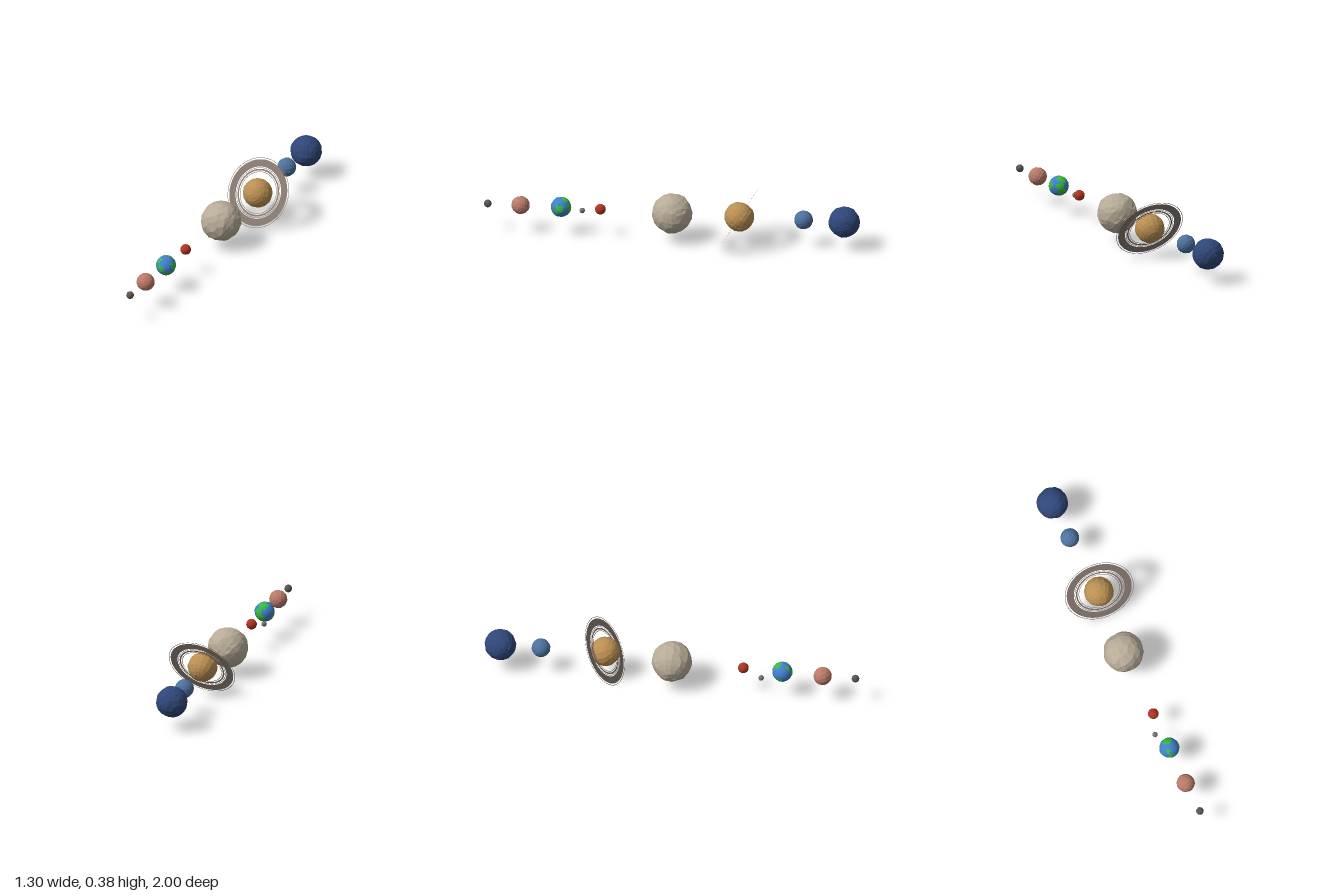
import * as THREE from 'three';

const paint = (color, extra = {}) =>
  new THREE.MeshStandardMaterial({ color, flatShading: true, ...extra });

// Repeatable noise in -1..1 from a position, so shared corners move together
function noise(v, seed) {
  const q = (a) => Math.round(a * 100);
  const s = Math.sin(q(v.x) * 12.99 + q(v.y) * 78.23 + q(v.z) * 37.72 + seed * 4.1) * 437.58;
  return (s - Math.floor(s)) * 2 - 1;
}

// Low-poly globe: a faceted sphere with uneven rows, its pole turned to the given axis
function globe(name, color, r, position, axis, seed, rough = 0.03, seg = 14, rows = 10) {
  const geo = new THREE.SphereGeometry(1, seg, rows);
  const p = geo.attributes.position;
  const v = new THREE.Vector3();
  for (let i = 0; i < p.count; i++) {
    v.fromBufferAttribute(p, i);
    const n = noise(v, seed), m = noise(new THREE.Vector3(v.z, v.x, v.y), seed + 3);
    const atPole = Math.abs(v.y) > 0.99;
    if (!atPole) {
      v.y += m * rough * 1.6;
      v.applyAxisAngle(new THREE.Vector3(0, 1, 0), n * rough * 2);
      v.normalize().multiplyScalar(1 + rough * (0.4 + 0.6 * n));
    }
    p.setXYZ(i, v.x * r, v.y * r, v.z * r);
  }
  geo.computeVertexNormals();
  const mesh = new THREE.Mesh(geo, paint(color));
  mesh.name = name;
  mesh.position.set(...position);
  mesh.quaternion.setFromUnitVectors(
    new THREE.Vector3(0, 1, 0), new THREE.Vector3(...axis).normalize());
  return mesh;
}

// Ocean globe with raised land facets chosen around a few centres
function oceanPlanet(r, position) {
  const group = new THREE.Group();
  group.name = 'oceanPlanet';
  group.position.set(...position);
  const geo = new THREE.IcosahedronGeometry(r, 3);
  const ocean = new THREE.Mesh(geo, paint(0x3f80cc));
  ocean.name = 'ocean';

  // direction and angular size of each continent
  const continents = [
    [-0.6, 0.1, 0.79, 0.38], [0.05, -0.62, 0.78, 0.4], [0.78, 0.2, 0.58, 0.42],
    [0.3, 0.85, -0.43, 0.5], [0.8, 0.25, -0.55, 0.35], [0.6, -0.35, -0.65, 0.45],
    [-0.5, 0.6, 0.3, 0.25], [-0.6, -0.5, -0.5, 0.35],
  ].map(([x, y, z, a]) => ({ d: new THREE.Vector3(x, y, z).normalize(), a }));
  const p = geo.attributes.position;
  const out = [];
  for (let i = 0; i < p.count; i += 3) {
    const tri = [0, 1, 2].map((k) => new THREE.Vector3().fromBufferAttribute(p, i + k));
    const mid = tri[0].clone().add(tri[1]).add(tri[2]).normalize();
    const wobble = noise(mid, 5) * 0.08;
    if (continents.some(({ d, a }) => mid.angleTo(d) < a + wobble))
      tri.forEach((c) => out.push(...c.multiplyScalar(1.025).toArray()));
  }
  const landGeo = new THREE.BufferGeometry();
  landGeo.setAttribute('position', new THREE.Float32BufferAttribute(out, 3));
  landGeo.computeVertexNormals();
  const land = new THREE.Mesh(landGeo, paint(0x35bb3c, { side: THREE.DoubleSide }));
  land.name = 'land';
  group.add(ocean, land);
  return group;
}

// Flat concentric bands around the ringed planet
function ringSystem(R, position, axis) {
  const group = new THREE.Group();
  group.name = 'rings';
  const bands = [[0.585, 0.6], [0.63, 0.675], [0.7, 0.715], [0.74, 0.945], [0.985, 1]];
  const mat = paint(0x857870, { side: THREE.DoubleSide });
  bands.forEach(([a, b], i) => {
    const band = new THREE.Mesh(new THREE.RingGeometry(a * R, b * R, 64), mat);
    band.name = `ringBand${i + 1}`;
    group.add(band);
  });
  group.position.set(...position);
  group.quaternion.setFromUnitVectors(
    new THREE.Vector3(0, 0, 1), new THREE.Vector3(...axis).normalize());
  return group;
}

export function createModel() {
  const model = new THREE.Group();
  model.name = 'planetRow';
  const ringAxis = [-0.54, 0.5, 0.67];
  model.add(
    // small inner planets
    globe('innermostPlanet', 0x5c5650, 0.024, [-0.63, 0.183, 0.975], [0, 1, 0], 1, 0.02, 10, 8),
    globe('secondPlanet', 0xb97a68, 0.056, [-0.525, 0.182, 0.8], [0, 0.3, 1], 2, 0.025),
    oceanPlanet(0.062, [-0.389, 0.184, 0.588]),
    globe('moon', 0x77736e, 0.017, [-0.355, 0.15, 0.46], [0, 1, 0], 3, 0.02, 10, 8),
    globe('redPlanet', 0xb03322, 0.033, [-0.257, 0.183, 0.382], [0.2, 0.3, 1], 4, 0.02),
    // large outer planets
    globe('giantPlanet', 0xb8ac98, 0.123, [-0.019, 0.18, 0.004], [0.73, 0.56, 0.4], 5, 0.04, 16, 12),
    globe('ringedPlanet', 0xba8f52, 0.091, [0.224, 0.19, -0.34], ringAxis, 6, 0.025, 16, 12),
    ringSystem(0.22, [0.228, 0.19, -0.34], ringAxis),
    globe('paleBluePlanet', 0x4d719f, 0.058, [0.421, 0.184, -0.686], [1, 0.1, 0], 7, 0.02),
    globe('outermostPlanet', 0x2f4779, 0.096, [0.552, 0.182, -0.902], [1, 0, 0], 8, 0.035, 16, 12),
  );
  return model;
}
